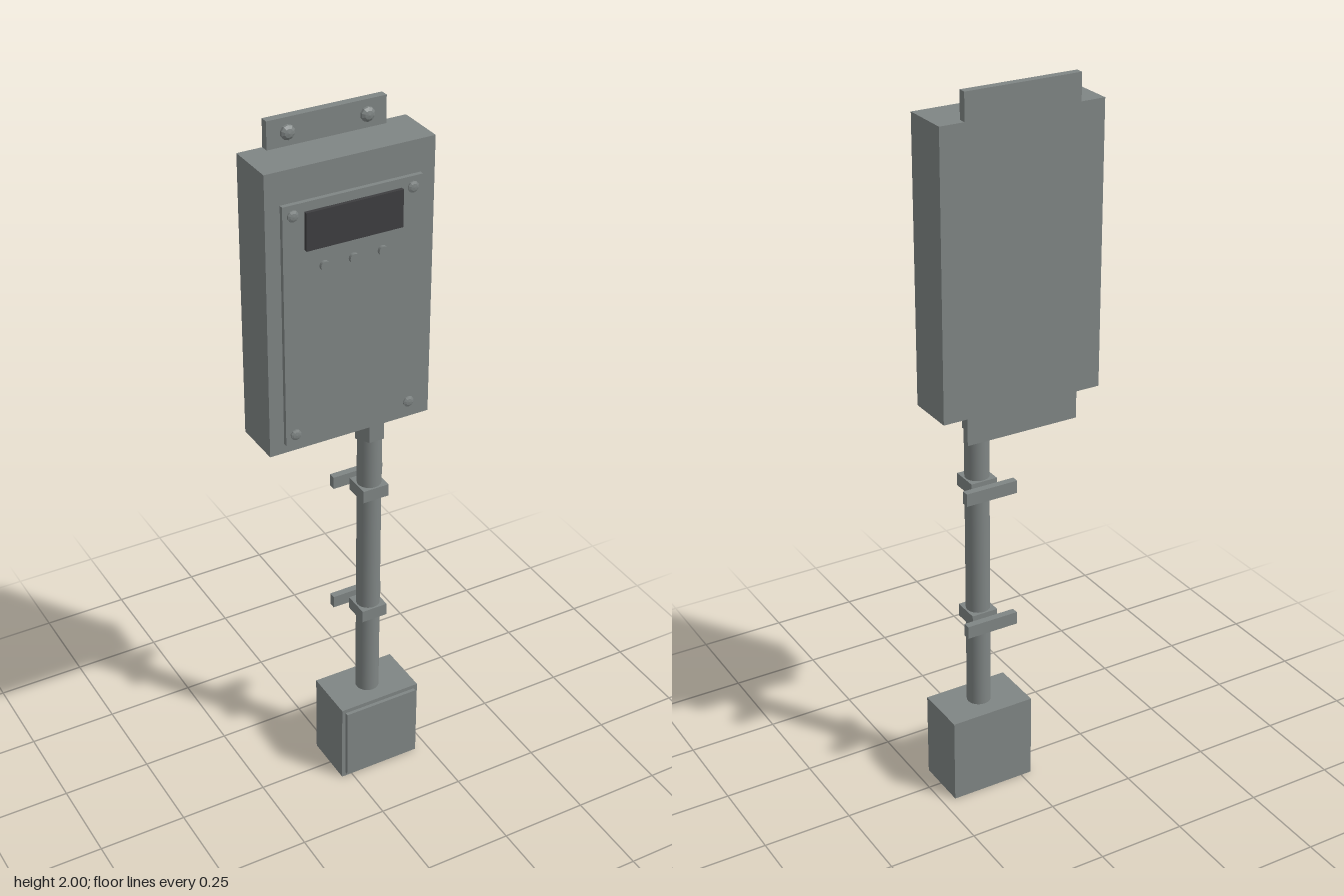
import * as THREE from 'three';

const steel = new THREE.MeshStandardMaterial({ color: 0x7f8584 });
const facetedSteel = new THREE.MeshStandardMaterial({ color: 0x7f8584, flatShading: true });
const dark = new THREE.MeshStandardMaterial({ color: 0x3e3e40 });

export function createModel() {
  const model = new THREE.Group();

  const add = (name, geometry, material = steel) => {
    const mesh = new THREE.Mesh(geometry, material);
    mesh.name = name;
    model.add(mesh);
    return mesh;
  };

  // Box given by its lower and upper limits on each axis
  const box = (name, [x0, x1], [y0, y1], [z0, z1], material) =>
    add(name, new THREE.BoxGeometry(x1 - x0, y1 - y0, z1 - z0), material)
      .position.set((x0 + x1) / 2, (y0 + y1) / 2, (z0 + z1) / 2);

  // Low domed head facing +z, seated on the plane z
  const head = (name, x, y, z, r, h) => {
    const profile = [[r, 0], [r, h * 0.5], [r * 0.6, h * 0.85], [0, h]]
      .map(([px, py]) => new THREE.Vector2(px, py));
    const geometry = new THREE.LatheGeometry(profile, 10).rotateX(Math.PI / 2);
    add(name, geometry, facetedSteel).position.set(x, y, z);
  };

  const back = -0.082;

  // Cabinet with mounting tabs above and below
  box('cabinet', [-0.23, 0.23], [1.156, 1.927], [back, 0.056]);
  box('topMountingTab', [-0.162, 0.162], [1.927, 2], [back, -0.06]);
  box('bottomMountingTab', [-0.162, 0.162], [1.081, 1.156], [back, -0.06]);
  for (const x of [-0.108, 0.108])
    for (const y of [1.119, 1.963]) head('mountingBolt', x, y, -0.06, 0.019, 0.014);

  // Front panel, display and buttons
  box('frontPanel', [-0.19, 0.19], [1.184, 1.841], [0.056, 0.068]);
  box('display', [-0.132, 0.132], [1.717, 1.817], [0.068, 0.078], dark);
  for (const x of [-0.163, 0.163])
    for (const y of [1.21, 1.813]) head('panelScrew', x, y, 0.068, 0.015, 0.007);
  for (const x of [-0.08, 0, 0.08]) {
    const button = add('button', new THREE.CylinderGeometry(0.013, 0.013, 0.009, 12).rotateX(Math.PI / 2));
    button.position.set(x, 1.665, 0.0725);
  }

  // Conduit and its hexagonal fitting below the cabinet
  const px = 0.091, pz = -0.003;
  add('conduit', new THREE.CylinderGeometry(0.033, 0.033, 0.91, 24)).position.set(px, 0.702, pz);
  add('conduitFitting', new THREE.CylinderGeometry(0.043, 0.043, 0.065, 6).rotateY(Math.PI / 2), facetedSteel)
    .position.set(px, 1.124, pz);

  // Conduit clamps with wall strips behind
  for (const y of [0.525, 0.925]) {
    box('clamp', [px - 0.038, px + 0.038], [y - 0.018, y + 0.018], [pz - 0.038, pz + 0.038]);
    box('clampStrip', [px - 0.075, px + 0.075], [y - 0.018, y + 0.018], [back, -0.062]);
  }

  // Junction box and lid
  box('junctionBox', [-0.031, 0.213], [0, 0.247], [back, 0.071]);
  box('junctionBoxLid', [-0.02, 0.202], [0.012, 0.235], [0.071, 0.081]);

  return model;
}
